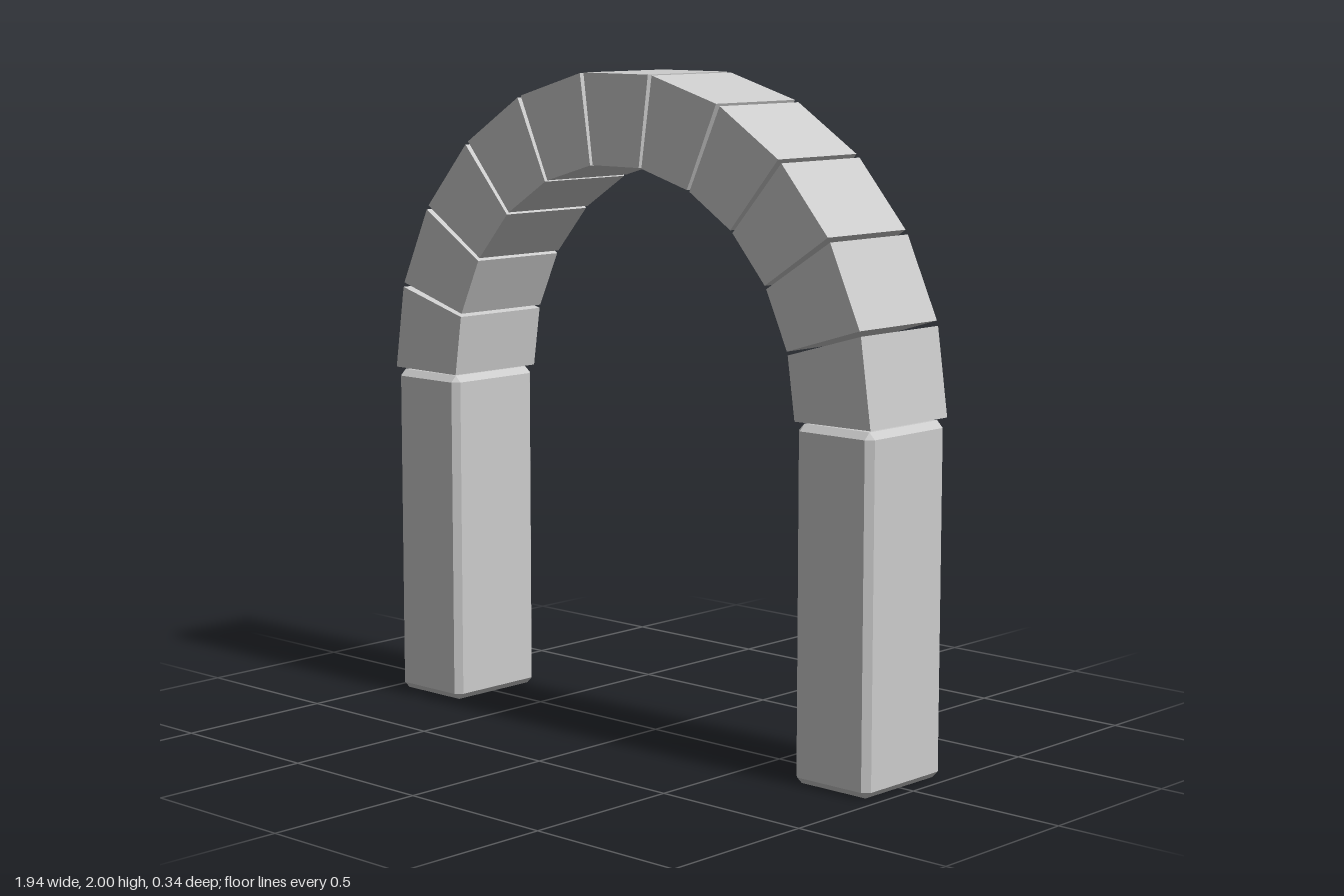
import * as THREE from 'three';
import { ConvexGeometry } from 'three/addons/geometries/ConvexGeometry.js';

const OUTER = 0.969, INNER = 0.695, SPRING = 1.04, DEPTH = 0.344;
const STONES = 11, HALF_GAP = THREE.MathUtils.degToRad(0.45);

// Box with every edge cut by a flat chamfer
function chamferedBox(w, h, d, c) {
  const points = [];
  for (const sx of [-1, 1]) for (const sy of [-1, 1]) for (const sz of [-1, 1]) {
    const x = w / 2, y = h / 2, z = d / 2;
    points.push(
      new THREE.Vector3(sx * x, sy * (y - c), sz * (z - c)),
      new THREE.Vector3(sx * (x - c), sy * y, sz * (z - c)),
      new THREE.Vector3(sx * (x - c), sy * (y - c), sz * z)
    );
  }
  return new ConvexGeometry(points);
}

// Wedge stone between two angles around the arch centre
function wedge(a, b) {
  const at = (r, t) => new THREE.Vector2(r * Math.cos(t), r * Math.sin(t));
  const shape = new THREE.Shape([at(INNER, a), at(OUTER, a), at(OUTER, b), at(INNER, b)]);
  return new THREE.ExtrudeGeometry(shape, { depth: DEPTH, bevelEnabled: false })
    .translate(0, 0, -DEPTH / 2);
}

export function createModel() {
  const model = new THREE.Group();
  model.name = 'stoneArch';
  const stone = new THREE.MeshStandardMaterial({ color: 0xcccccc, flatShading: true });

  // Two chamfered pillars
  const pillarGeometry = chamferedBox(OUTER - INNER, SPRING, DEPTH, 0.02);
  for (const [name, side] of [['leftPillar', 1], ['rightPillar', -1]]) {
    const pillar = new THREE.Mesh(pillarGeometry, stone);
    pillar.name = name;
    pillar.position.set(side * (OUTER + INNER) / 2, SPRING / 2, 0);
    model.add(pillar);
  }

  // Ring of wedge stones with narrow open joints
  const arch = new THREE.Group();
  arch.name = 'archRing';
  arch.position.y = SPRING;
  const step = Math.PI / STONES;
  for (let i = 0; i < STONES; i++) {
    const block = new THREE.Mesh(wedge(i * step + HALF_GAP, (i + 1) * step - HALF_GAP), stone);
    block.name = i === (STONES - 1) / 2 ? 'keystone' : `archStone${i + 1}`;
    arch.add(block);
  }
  model.add(arch);
  return model;
}
